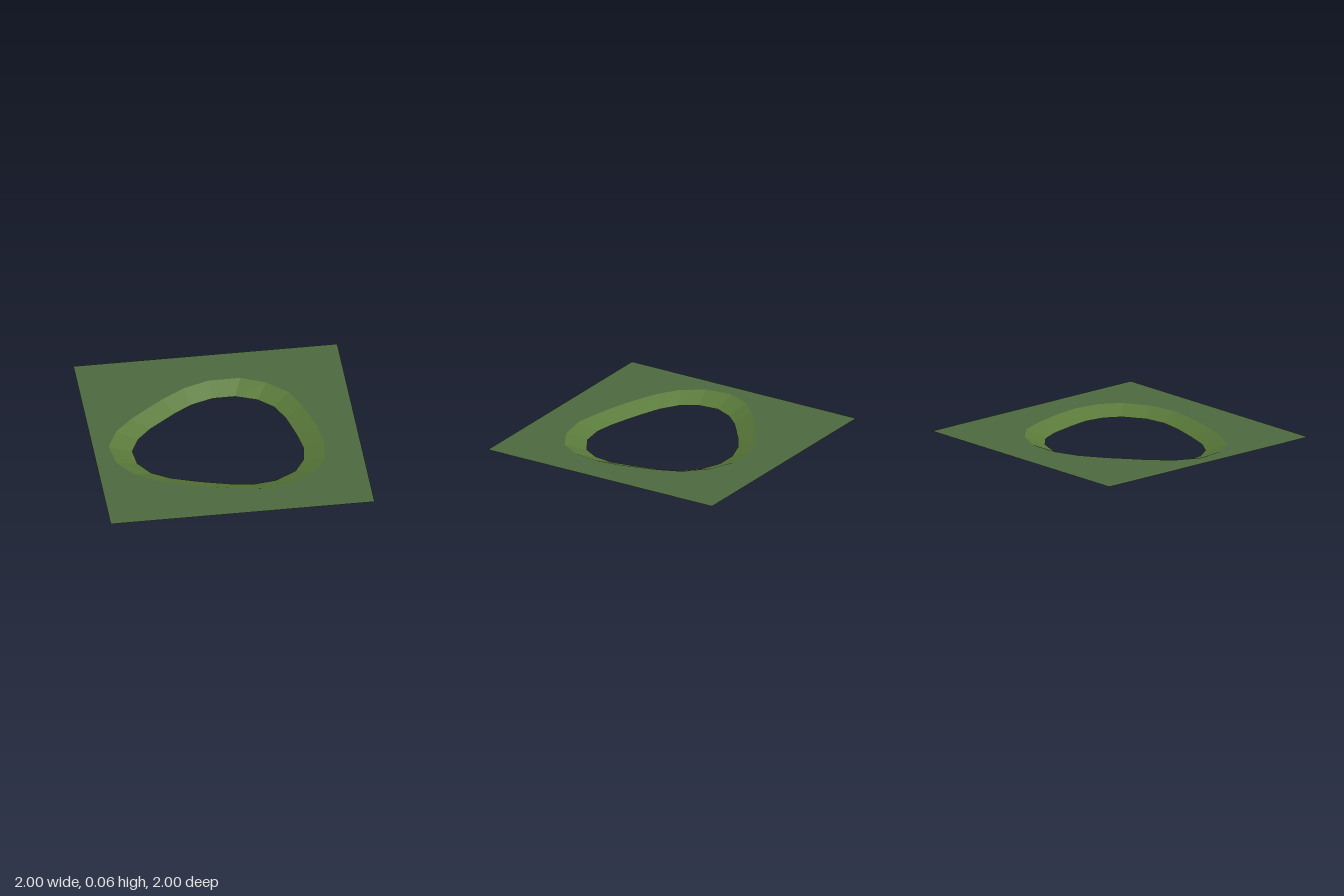
import * as THREE from 'three';

const HEIGHT = 0.06;

// Matching rim outlines as [x, z], clockwise seen from above
const outer = [
  [-0.02, -0.68], [0.22, -0.68], [0.405, -0.595], [0.555, -0.45], [0.635, -0.26], [0.705, 0],
  [0.733, 0.205], [0.705, 0.41], [0.605, 0.57], [0.415, 0.675], [0.19, 0.714], [-0.02, 0.682],
  [-0.225, 0.635], [-0.395, 0.58], [-0.58, 0.51], [-0.74, 0.405], [-0.85, 0.245], [-0.88, 0.04],
  [-0.797, -0.145], [-0.663, -0.285], [-0.405, -0.49], [-0.22, -0.61],
];
const inner = [
  [-0.01, -0.532], [0.16, -0.532], [0.32, -0.468], [0.433, -0.36], [0.497, -0.215], [0.55, 0.005],
  [0.577, 0.175], [0.555, 0.325], [0.48, 0.45], [0.32, 0.548], [0.145, 0.573], [-0.02, 0.548],
  [-0.198, 0.5], [-0.3, 0.468], [-0.465, 0.41], [-0.6, 0.325], [-0.685, 0.195], [-0.7, 0.04],
  [-0.637, -0.1], [-0.53, -0.217], [-0.31, -0.39], [-0.182, -0.473],
];

export function createModel() {
  const model = new THREE.Group();
  model.name = 'hollowedGround';
  const grass = new THREE.MeshStandardMaterial({ name: 'grass green', color: 0x4e6b40, side: THREE.DoubleSide });
  const bankGreen = new THREE.MeshStandardMaterial({
    name: 'bank green', color: 0x5a7a3a, side: THREE.DoubleSide, flatShading: true,
  });

  // Square sheet with the hollow cut out
  const square = [[-1, -1], [1, -1], [1, 1], [-1, 1]];
  const flip = (points) => points.map(([x, z]) => new THREE.Vector2(x, -z));
  const sheet = new THREE.Shape(flip(square));
  sheet.holes.push(new THREE.Path(flip(outer)));
  const groundGeometry = new THREE.ShapeGeometry(sheet).rotateX(-Math.PI / 2).translate(0, HEIGHT, 0);
  const ground = new THREE.Mesh(groundGeometry, grass);
  ground.name = 'ground';

  // Sloping bank from the upper rim down to the lower opening
  const positions = [];
  const indices = [];
  const n = outer.length;
  for (let i = 0; i < n; i++) {
    positions.push(outer[i][0], HEIGHT, outer[i][1], inner[i][0], 0, inner[i][1]);
    const a = 2 * i;
    const b = 2 * ((i + 1) % n);
    indices.push(a, a + 1, b, b, a + 1, b + 1);
  }
  const bankGeometry = new THREE.BufferGeometry();
  bankGeometry.setAttribute('position', new THREE.Float32BufferAttribute(positions, 3));
  bankGeometry.setIndex(indices);
  bankGeometry.computeVertexNormals();
  const bank = new THREE.Mesh(bankGeometry, bankGreen);
  bank.name = 'bank';

  model.add(ground, bank);
  return model;
}
